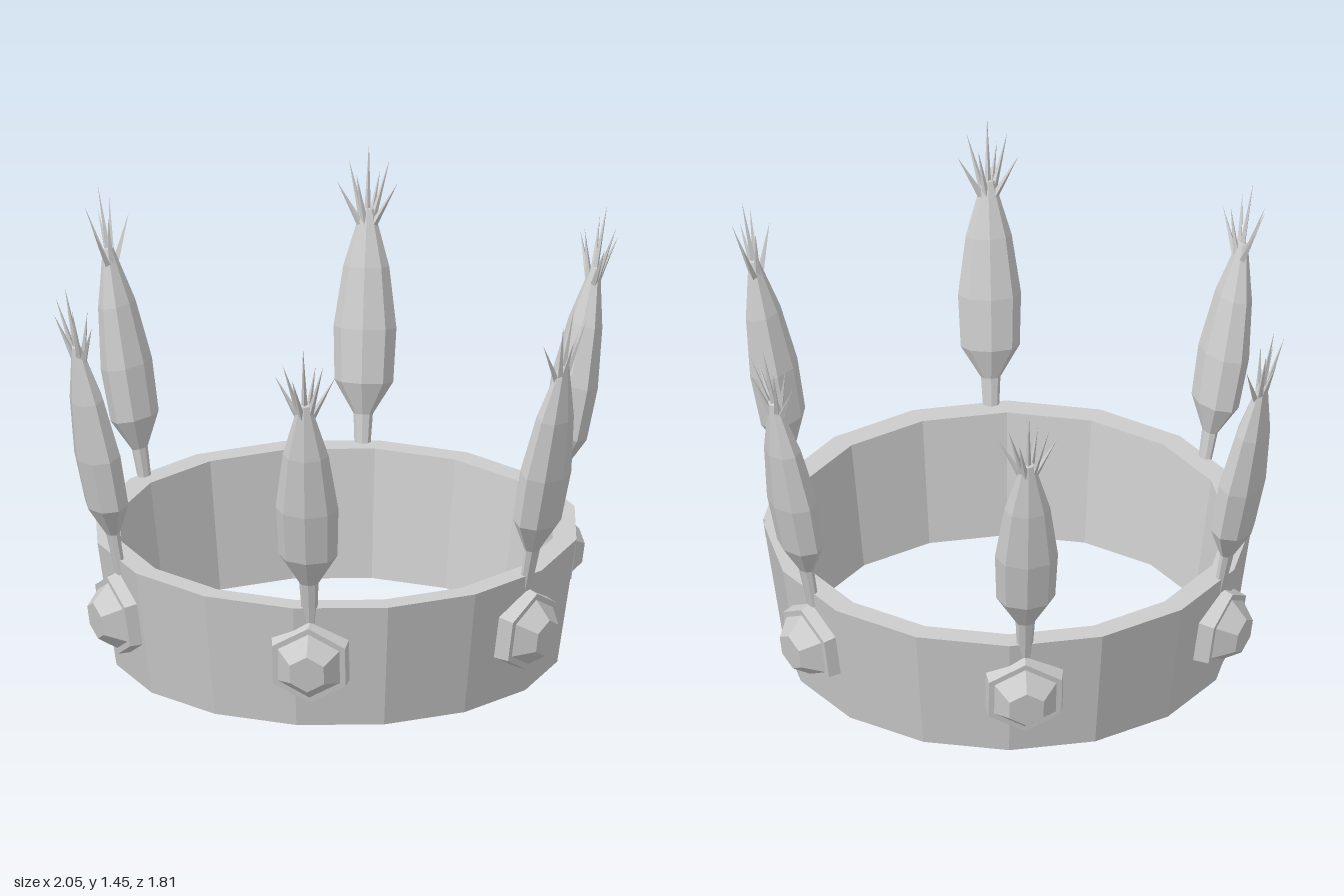
import * as THREE from 'three';

const metal = new THREE.MeshStandardMaterial({ color: 0xcccccc, flatShading: true });
metal.name = 'grey metal';

function part(name, geometry, parent) {
  const mesh = new THREE.Mesh(geometry, metal);
  mesh.name = name;
  parent.add(mesh);
  return mesh;
}

const lathe = (profile, sides, start = 0) =>
  new THREE.LatheGeometry(profile.map(([r, y]) => new THREE.Vector2(r, y)), sides, start);

// Flattened eight-sided bulb on a thin stem, with a tuft of needles at the tip
function createSpike() {
  const spike = new THREE.Group();
  spike.name = 'spike';
  const bulb = lathe([
    [0, -0.01], [0.025, -0.01], [0.033, 0.143], [0.1, 0.255],
    [0.107, 0.44], [0.078, 0.65], [0.022, 0.845], [0, 0.85],
  ], 8);
  bulb.scale(1, 1, 0.7);
  part('bulb', bulb, spike);

  // Needle tips: sideways, height, outward
  const tips = [
    [0, 1.07, 0], [0.069, 1.01, 0.015], [-0.069, 1.01, 0.015],
    [0.103, 0.94, -0.03], [-0.103, 0.94, -0.03],
    [0.035, 0.97, -0.05], [-0.035, 0.97, 0.045],
  ];
  for (const [x, y, z] of tips) {
    const base = new THREE.Vector3(x * 0.15, 0.78, z * 0.15);
    const dir = new THREE.Vector3(x, y, z).sub(base);
    const length = dir.length();
    const geometry = new THREE.ConeGeometry(0.014, length, 4).translate(0, length / 2, 0);
    const needle = part('needle', geometry, spike);
    needle.position.copy(base);
    needle.quaternion.setFromUnitVectors(new THREE.Vector3(0, 1, 0), dir.normalize());
  }
  spike.position.set(0, 0.4, 0.797);
  spike.rotation.x = 0.192;
  return spike;
}

// Hexagonal mount holding a faceted stone, tilted to lie on the flared band
function createJewel() {
  const jewel = new THREE.Group();
  jewel.name = 'jewel';
  part('mount', new THREE.CylinderGeometry(0.143, 0.155, 0.075, 6).translate(0, 0.0075, 0), jewel);
  part('stone', new THREE.CylinderGeometry(0.067, 0.122, 0.065, 6).translate(0, 0.0765, 0), jewel);
  jewel.position.set(0, 0.246, 0.78);
  jewel.rotation.x = Math.PI / 2 + 0.145;
  return jewel;
}

export function createModel() {
  const model = new THREE.Group();
  model.name = 'crown';

  // Sixteen-sided flared band
  part('band', lathe([
    [0.745, 0.445], [0.685, 0], [0.76, 0], [0.826, 0.445], [0.745, 0.445],
  ], 16, Math.PI / 16), model);

  // Six spikes, each with a jewel beneath it
  for (let i = 0; i < 6; i++) {
    const point = new THREE.Group();
    point.name = 'crownPoint';
    point.add(createSpike(), createJewel());
    point.rotation.y = Math.PI / 6 + (i * Math.PI) / 3;
    model.add(point);
  }
  return model;
}
